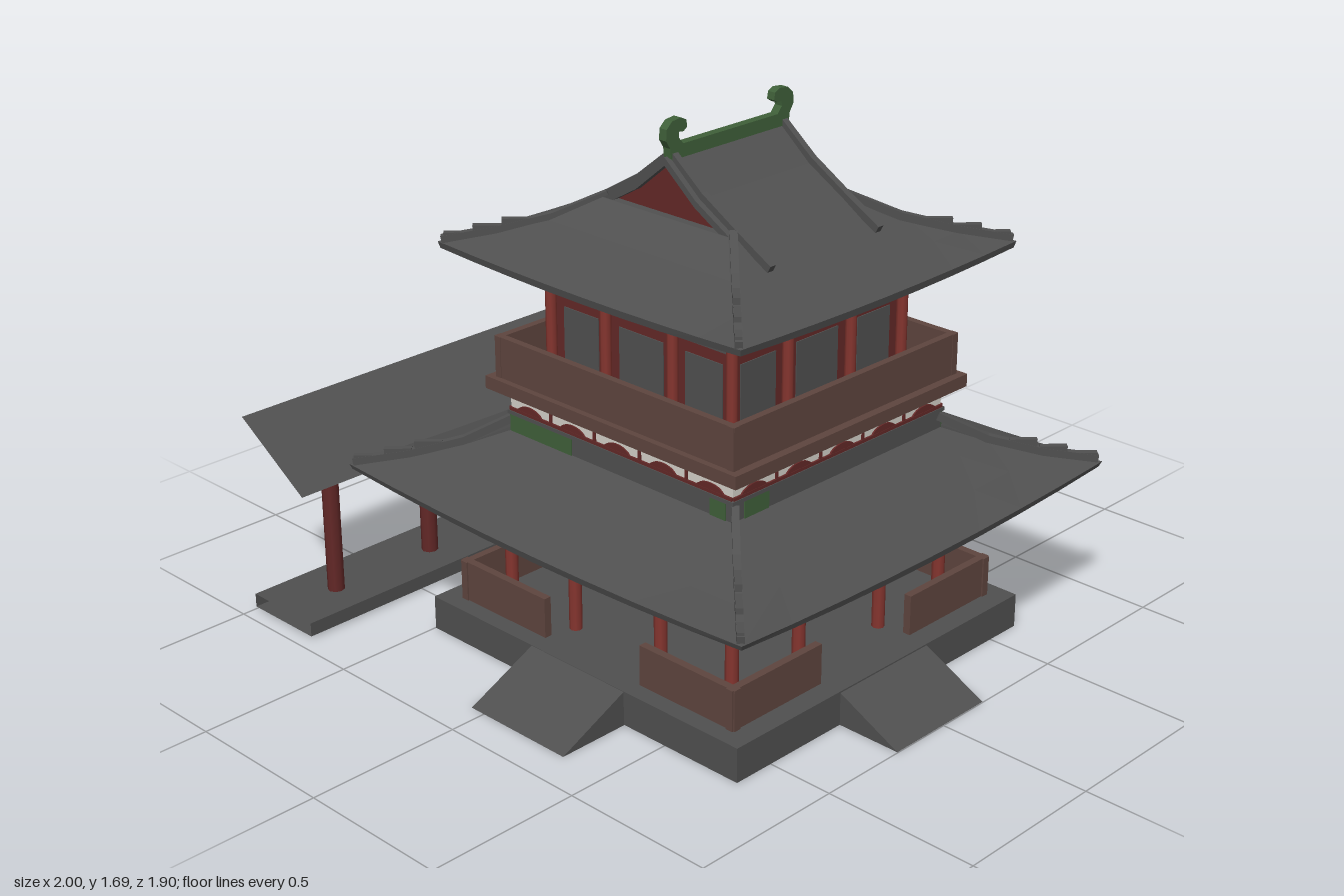
import * as THREE from 'three';

const mat = (name, color, side = THREE.FrontSide) => {
  const m = new THREE.MeshStandardMaterial({ color, side });
  m.name = name;
  return m;
};

export function createModel() {
  const grey = mat('slate grey', 0x505050, THREE.DoubleSide);
  const brown = mat('brown wood', 0x5e453e);
  const red = mat('column red', 0x85352f);
  const darkRed = mat('dark red', 0x632827);
  const green = mat('glazed green', 0x3f6039);
  const white = mat('plaster white', 0xd6d3cb, THREE.DoubleSide);

  const model = new THREE.Group();
  model.name = 'pavilionWithGallery';
  const tower = new THREE.Group();
  tower.name = 'tower';
  tower.position.set(0.142, 0, 0.01);
  model.add(tower);

  const add = (parent, name, geo, material, x = 0, y = 0, z = 0) => {
    const m = new THREE.Mesh(geo, material);
    m.name = name;
    m.position.set(x, y, z);
    parent.add(m);
    return m;
  };
  // box given by its x range, y range and z range
  const box = (parent, name, material, x0, x1, y0, y1, z0, z1) =>
    add(parent, name, new THREE.BoxGeometry(x1 - x0, y1 - y0, z1 - z0), material,
      (x0 + x1) / 2, (y0 + y1) / 2, (z0 + z1) / 2);
  const column = (parent, name, material, r, x, y0, y1, z) =>
    add(parent, name, new THREE.CylinderGeometry(r, r, y1 - y0, 8), material, x, (y0 + y1) / 2, z);
  // square bars strung along a list of points
  const beams = (parent, name, material, points, w, h) => {
    for (let i = 0; i + 1 < points.length; i++) {
      const a = new THREE.Vector3(...points[i]), b = new THREE.Vector3(...points[i + 1]);
      const m = new THREE.Mesh(new THREE.BoxGeometry(w, h, a.distanceTo(b) + 0.006), material);
      m.name = name;
      m.position.copy(a).lerp(b, 0.5);
      m.lookAt(b);
      parent.add(m);
    }
  };
  // polygon in the xy plane, extruded evenly about z = 0
  const prism = (pts, depth) => new THREE.ExtrudeGeometry(
    new THREE.Shape(pts.map(p => new THREE.Vector2(...p))), { depth, bevelEnabled: false }).translate(0, 0, -depth / 2);

  // skin from rectangular rings [halfX, halfZ, y, corner lift]
  const hipRoof = rings => {
    const n = 8, pos = [], idx = [], dirs = [[0, 1], [1, 0], [0, -1], [-1, 0]];
    for (const [hx, hz, y, lift] of rings)
      for (const [dx, dz] of dirs)
        for (let i = 0; i < n; i++) {
          const u = (i / n) * 2 - 1;
          pos.push((dx + dz * u) * hx, y + lift * u * u, (dz - dx * u) * hz);
        }
    const c = n * 4;
    for (let r = 0; r + 1 < rings.length; r++)
      for (let j = 0; j < c; j++) {
        const a = r * c + j, b = r * c + (j + 1) % c;
        // the last point of each side joins the first of the next
        idx.push(a, b, b + c, a, b + c, a + c);
      }
    let g = new THREE.BufferGeometry();
    g.setAttribute('position', new THREE.Float32BufferAttribute(pos, 3));
    g.setIndex(idx);
    g = g.toNonIndexed();
    g.computeVertexNormals();
    return g;
  };

  // stone platform, balcony slab and upper room; the tower is hollow up to the slab
  box(tower, 'platform', grey, -0.64, 0.64, 0, 0.11, -0.63, 0.628);
  box(tower, 'lowerCeiling', darkRed, -0.45, 0.45, 0.803, 0.81, -0.45, 0.45);
  box(tower, 'balconySlab', brown, -0.51, 0.51, 0.81, 0.85, -0.503, 0.503);
  box(tower, 'upperRoom', darkRed, -0.353, 0.353, 0.85, 1.27, -0.353, 0.353);
  add(tower, 'roofCollar', hipRoof([[0.455, 0.455, 0.67, 0], [0.455, 0.455, 0.728, 0], [0.462, 0.462, 0.73, 0],
    [0.462, 0.462, 0.742, 0], [0.45, 0.45, 0.744, 0]]), grey);
  add(tower, 'bracketBand', hipRoof([[0.453, 0.453, 0.742, 0], [0.455, 0.455, 0.81, 0]]), white);

  // everything repeated on the four sides
  const rampGeo = prism([[0, 0], [0.24, 0], [0, 0.11]], 0.39).rotateY(-Math.PI / 2);
  // leave the ramp open underneath
  const p = rampGeo.attributes.position, kept = [];
  for (let i = 0; i < p.count; i += 3)
    if (Math.max(p.getY(i), p.getY(i + 1), p.getY(i + 2)) > 0.001) kept.push(i, i + 1, i + 2);
  rampGeo.setIndex(kept);
  rampGeo.clearGroups();
  const rampScale = [1, 0.94, 1, 1.07];

  const humpGeo = new THREE.ExtrudeGeometry(new THREE.Shape().absellipse(0, 0, 0.055, 0.03, 0, Math.PI),
    { depth: 0.008, bevelEnabled: false, curveSegments: 8 }).translate(0, 0, -0.004);
  const paneGeo = new THREE.CircleGeometry(0.5, 10);
  for (let s = 0; s < 4; s++) {
    const side = new THREE.Group();
    side.name = 'side' + (s + 1);
    side.rotation.y = s * Math.PI / 2;
    tower.add(side);
    add(side, 'ramp', rampGeo, grey, 0, 0, 0.63).scale.z = rampScale[s];
    for (const [x0, x1] of [[-0.575, -0.2], [0.2, 0.575]])
      box(side, 'parapet', brown, x0, x1, 0.11, 0.24, 0.545, 0.57);
    for (const x of [-0.463, -0.18, 0.18]) column(side, 'lowerColumn', red, 0.02, x, 0.11, 0.56, 0.463);
    for (const x of [-0.365, -0.135, 0.135]) column(side, 'upperColumn', red, 0.017, x, 0.85, 1.27, 0.365);

    // red humps and studs across the bracket band
    for (let i = 0; i < 5; i++) {
      const x = -0.37 + i * 0.185;
      add(side, 'bracketHump', humpGeo, darkRed, x, 0.742, 0.455);
      if (i < 4) box(side, 'bracketStud', darkRed, x + 0.088, x + 0.097, 0.742, 0.785, 0.451, 0.459);
    }
    box(side, 'bracketSill', darkRed, -0.455, 0.455, 0.742, 0.752, 0.451, 0.46);

    box(side, 'balconyWall', brown, -0.485, 0.485, 0.85, 0.98, 0.46, 0.483);
    // upper wall bays: door panel, lattice and paper panes
    for (const [x0, x1] of [[-0.345, -0.15], [-0.12, 0.12], [0.15, 0.345]]) {
      const w = x1 - x0, middle = x0 < 0 && x1 > 0;
      box(side, 'doorPanel', grey, x0 + w * 0.13, x1 - w * 0.13, 0.87, 1.08, 0.352, 0.356);
      box(side, 'lattice', grey, x0, x1, 1.115, 1.25, 0.352, 0.356);
      add(side, 'upperPane', paneGeo, white, x0 + w * 0.5, 1.208, 0.3575).scale.set(w * (middle ? 0.62 : 0.55), middle ? 0.055 : 0.042, 1);
      for (const f of [0.27, 0.73])
        add(side, 'lowerPane', paneGeo, white, x0 + w * f, 1.142, 0.3575).scale.set(w * 0.38, 0.034, 1);
    }
  }

  // green glaze on parts of the collar
  box(tower, 'collarGlazeFront', green, -0.455, -0.19, 0.675, 0.73, 0.452, 0.459);
  box(tower, 'collarGlazeFront', green, 0.37, 0.43, 0.675, 0.73, 0.452, 0.459);
  box(tower, 'collarGlazeBack', green, -0.455, 0.455, 0.675, 0.73, -0.459, -0.452);
  box(tower, 'collarGlazeLeft', green, 0.452, 0.459, 0.675, 0.73, 0.31, 0.41);

  // lower and upper roof skins
  add(tower, 'lowerRoof', hipRoof([
    [0.803, 0.79, 0.515, 0.03], [0.81, 0.797, 0.538, 0.024], [0.68, 0.675, 0.578, 0.01],
    [0.56, 0.56, 0.625, 0], [0.455, 0.455, 0.675, 0]]), grey);
  add(tower, 'upperRoof', hipRoof([
    [0.598, 0.582, 1.235, 0.016], [0.603, 0.587, 1.258, 0.013], [0.48, 0.475, 1.295, 0.005],
    [0.36, 0.37, 1.34, 0], [0.25, 0.26, 1.41, 0], [0.2, 0.2, 1.412, 0]]), grey);

  // hip ridges on the four corners, with stepped ends
  for (const kx of [-1, 1]) for (const kz of [-1, 1]) {
    const corner = list => list.map(([d, y]) => [kx * d, y, kz * (d - 0.01)]);
    beams(tower, 'lowerHipRidge', grey, corner([[0.455, 0.715], [0.56, 0.642], [0.68, 0.598], [0.797, 0.573]]), 0.022, 0.024);
    beams(tower, 'upperHipRidge', grey, corner([[0.25, 1.415], [0.36, 1.35], [0.48, 1.308], [0.59, 1.28]]), 0.022, 0.024);
    for (const [d, y] of [[0.61, 0.628], [0.675, 0.605], [0.74, 0.583], [0.41, 1.333], [0.47, 1.313], [0.53, 1.291]])
      beams(tower, 'ridgeStep', grey, corner([[d, y], [d + 0.055, y]]), 0.02, 0.022);
    beams(tower, 'gableRidge', grey,
      [[0, 1.59], [0.12, 1.495], [0.25, 1.418], [0.38, 1.345]].map(([x, y]) => [kx * x, y, kz * 0.228]), 0.022, 0.024);
  }

  // gabled crown of the upper roof
  add(tower, 'gableRoof', prism([[-0.25, 1.41], [-0.235, 1.395], [-0.115, 1.465], [0, 1.56], [0.115, 1.465],
    [0.235, 1.395], [0.25, 1.41], [0.12, 1.485], [0, 1.585], [-0.12, 1.485]], 0.515), grey);
  add(tower, 'gableWall', prism([[-0.24, 1.395], [0.24, 1.395], [0.115, 1.47], [0, 1.565], [-0.115, 1.47]], 0.47), darkRed);

  // ridge with curled finials
  box(tower, 'mainRidge', green, -0.014, 0.014, 1.575, 1.615, -0.24, 0.24);
  const curl = prism([[-0.025, 1.58], [0.025, 1.58], [0.028, 1.61], [0.044, 1.635], [0.042, 1.668], [0.02, 1.688],
    [-0.015, 1.692], [-0.036, 1.682], [-0.04, 1.66], [-0.025, 1.65], [-0.008, 1.652], [-0.006, 1.636], [-0.024, 1.615]], 0.028);
  for (const k of [-1, 1]) add(tower, 'finial', curl, green, 0, 0, k * 0.22).rotation.y = -k * Math.PI / 2;

  // side gallery: open-ended floor, posts and a single sloping roof
  const gallery = new THREE.Group();
  gallery.name = 'gallery';
  model.add(gallery);
  const floor = new THREE.BoxGeometry(0.28, 0.045, 1.9);
  floor.setIndex(Array.from(floor.index.array).slice(0, 24));
  floor.clearGroups();
  add(gallery, 'galleryFloor', floor, grey, -0.86, 0.03, 0);
  for (let i = 0; i < 5; i++) column(gallery, 'galleryPost', darkRed, 0.027, -0.847, 0.045, 0.49, 0.75 - i * 0.385);
  const slope = new THREE.PlaneGeometry(Math.hypot(0.28, 0.18), 1.9).rotateX(-Math.PI / 2).rotateZ(-Math.atan2(0.18, 0.28));
  add(gallery, 'galleryRoof', slope, grey, -0.86, 0.57, 0);

  return model;
}
